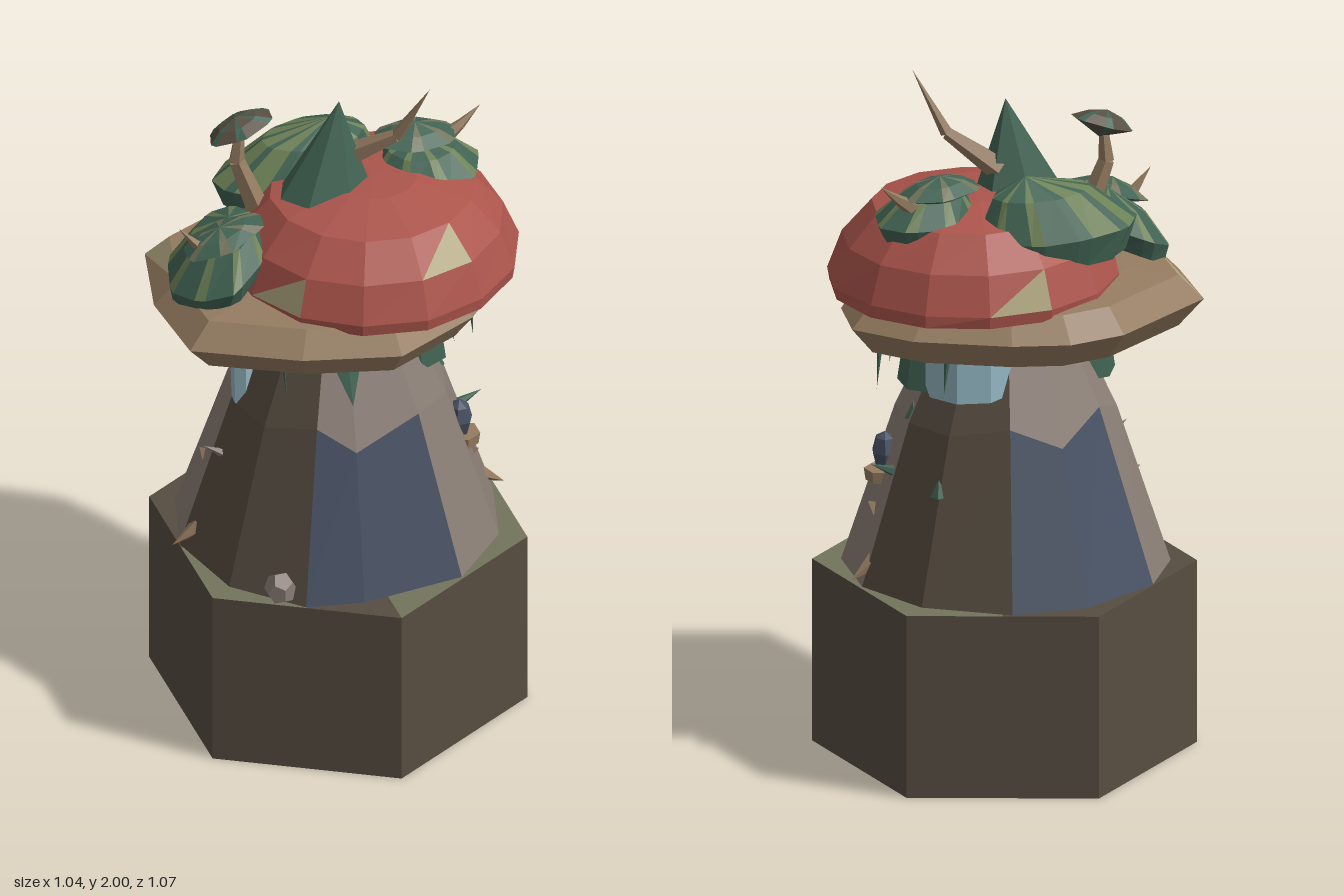
import * as THREE from 'three';

const PALETTE = {
  stoneBrown: 0x574d41, moss: 0x72745c, slate: 0x475163, taupe: 0x897d74, ice: 0x93b6c2,
  tan: 0x957c61, red: 0xac554c, cream: 0xaea37c, pine: 0x416353, olive: 0x6d8156,
};

export function createModel() {
  const mat = {};
  for (const [name, color] of Object.entries(PALETTE)) {
    mat[name] = new THREE.MeshStandardMaterial({ color, flatShading: true, side: THREE.DoubleSide });
    mat[name].name = name;
  }
  const group = new THREE.Group();
  let seed = 7;
  const rand = () => (seed = (seed * 16807) % 2147483647) / 2147483647;
  const rad = THREE.MathUtils.degToRad;

  const add = (name, geo, colour, pos = [0, 0, 0], rot = [0, 0, 0]) => {
    const m = new THREE.Mesh(geo, Array.isArray(colour) ? colour : mat[colour]);
    m.name = name;
    m.position.set(...pos);
    m.rotation.set(...rot);
    group.add(m);
    return m;
  };

  // Horizontal ring of points; angle runs from +z towards +x
  const ring = (cx, y, cz, rx, rz, angles, wobble = 0) => angles.map((a) => {
    const k = 1 + (rand() - 0.5) * wobble;
    return [cx + Math.sin(rad(a)) * rx * k, y, cz + Math.cos(rad(a)) * rz * k];
  });
  const even = (n, start = 0) => Array.from({ length: n }, (_, i) => start + (i * 360) / n);

  // Skin between rings listed bottom to top; pick(row, segment, triangle) names a colour
  const loft = (name, rings, pick) => {
    const byColour = {};
    for (let i = 0; i < rings.length - 1; i++) {
      const n = rings[i].length;
      for (let j = 0; j < n; j++) {
        const k = (j + 1) % n;
        const [a, b, c, d] = [rings[i][j], rings[i][k], rings[i + 1][k], rings[i + 1][j]];
        [[a, b, c], [a, c, d]].forEach((t, s) => {
          const tri = new THREE.Triangle(...t.map((p) => new THREE.Vector3(...p)));
          if (tri.getArea() > 1e-7) (byColour[pick(i, j, s)] ??= []).push(...t.flat());
        });
      }
    }
    const geo = new THREE.BufferGeometry();
    const all = [], mats = [];
    for (const [colour, list] of Object.entries(byColour)) {
      geo.addGroup(all.length / 3, list.length / 3, mats.length);
      mats.push(mat[colour]);
      all.push(...list);
    }
    geo.setAttribute('position', new THREE.Float32BufferAttribute(all, 3));
    geo.computeVertexNormals();
    return add(name, geo, mats);
  };

  // Hexagonal plinth with a partly mossy top
  const hex = (y, s) => ring(0.004, y, 0, 0.537 * s, 0.537 * s, even(6)).flatMap((p, i, r) => {
    const q = r[(i + 1) % 6];
    return [p, p.map((v, c) => (v + q[c]) / 2)];
  });
  const mossy = [1, 1, 1, 1, 1, 0, 0, 0, 0, 1, 1, 0];
  loft('plinth', [hex(0, 0), hex(0, 1), hex(0.54, 1), hex(0.54, 0)],
    (i, j) => (i === 2 && mossy[j] ? 'moss' : 'stoneBrown'));

  // Tapered tower: pairs of panels in slate, taupe and brown, with ragged slate tops
  const ta = [-30, -9, 30, 60, 90, 120, 153, 180, 214, 240, 268, 300];
  const towerRing = (r, ys) => ta.map((a, j) => {
    const k = (r - (ys[j] - ys[3]) * 0.45) * (j === 1 ? 0.945 : 1);
    return [Math.sin(rad(a)) * k, ys[j], Math.cos(rad(a)) * k];
  });
  const panels = ['slate', 'taupe', 'stoneBrown'];
  loft('tower', [
    towerRing(0.46, ta.map(() => 0.54)),
    towerRing(0.31, [1.03, 0.96, 1.02, 1, 1, 1, 1.03, 0.97, 1.04, 1, 1, 1]),
    towerRing(0.17, ta.map(() => 1.3)),
  ], (i, j) => {
    const c = panels[(j >> 1) % 3];
    return i === 1 && c === 'slate' ? 'taupe' : c;
  });

  // Wide irregular tan brim with a darker, hollow underside
  const outline = [[0.05, 0.41], [0.3, 0.29], [0.46, 0.12], [0.52, -0.05], [0.42, -0.22], [0.2, -0.39],
    [0.05, -0.46], [-0.12, -0.46], [-0.46, -0.31], [-0.52, -0.06], [-0.5, 0.19], [-0.22, 0.34]];
  const brim = [[1.31, 0.28], [1.28, 0.7], [1.25, 0.87], [1.33, 1], [1.4, 0.87], [1.415, 0.6], [1.42, 0]];
  loft('capBrim', brim.map(([y, k]) => outline.map(([x, z]) => [x * k, y, -0.02 + (z + 0.02) * k])), (i, j, s) => {
    if (i === 0) return 'stoneBrown';
    return i === 3 && j === 8 && s ? 'cream' : 'tan';
  });

  // Faceted red cap with pale patches
  const ca = even(14, 4);
  const cap = [[1.385, 0.41], [1.42, 0.415], [1.53, 0.375], [1.625, 0.29], [1.665, 0.13], [1.67, 0]];
  const patches = ['2,0,0', '1,11,0', '1,6,0'];
  loft('redCap', cap.map(([y, r]) => ring(0.105, y, -0.005, r, r * 0.95, ca, 0.02)),
    (i, j, s) => (patches.includes(`${i},${j},${s}`) ? 'cream' : 'red'));

  // Leafy clumps: squat domes of wide and narrow wedges fanning from an off-centre crown
  const clump = (name, [x, y, z], [rx, h, rz], [ax, az], lean, colour, wedges) => {
    const an = even(wedges, 10).flatMap((a) => [a, a + 252 / wedges]);
    const rings = [
      ring(x, y + h * 0.15, z, 0, 0, an),
      ring(x, y, z, rx * 0.85, rz * 0.85, an, 0.1),
      ring(x, y + h * 0.35, z, rx, rz, an, 0.1),
      ring((x + ax) / 2, y + h * 0.8, (z + az) / 2, rx * 0.62, rz * 0.62, an, 0.06),
      ring(ax, y + h, az, 0, 0, an),
    ];
    rings.flat().forEach((p) => { p[1] += (p[0] - x) * lean; });
    loft(name, rings, (i, j) => (i > 1 ? colour(i, j) : 'pine'));
  };
  const narrowRays = (i, j) => (j % 2 ? 'olive' : 'pine');
  clump('backFoliage', [-0.045, 1.5, -0.215], [0.24, 0.25, 0.135], [0.05, -0.2], 0,
    (i, j) => narrowRays(i, j >= 9 && j <= 17 ? j + 1 : j), 10);
  clump('rightFoliage', [-0.355, 1.42, -0.01], [0.14, 0.16, 0.17], [-0.31, -0.03], 0.45, narrowRays, 8);
  clump('leftFoliage', [0.285, 1.575, -0.055], [0.155, 0.145, 0.13], [0.26, -0.07], 0, narrowRays, 8);

  // Small leaf pads above the clumps
  const leafPad = (name, [x, y, z], [rx, h, rz], tilt, base, streak) => {
    const an = even(6).flatMap((a) => [a, a + 42]);
    const m = loft(name, [
      ring(0, -h / 2, 0, 0, 0, an), ring(0, 0, 0, rx, rz, an, 0.12),
      ring(0, h * 0.3, 0, rx * 0.6, rz * 0.6, an), ring(0, h / 2, 0, 0, 0, an),
    ], (i, j) => (j % 2 ? streak : base));
    m.position.set(x, y, z);
    m.rotation.z = tilt;
  };
  leafPad('highLeafPad', [-0.245, 1.83, -0.12], [0.1, 0.08, 0.06], 0.35, 'stoneBrown', 'pine');
  leafPad('rightLeafPad', [-0.34, 1.57, 0.02], [0.125, 0.08, 0.075], 0.35, 'pine', 'moss');
  leafPad('leftLeafPad', [0.26, 1.71, -0.09], [0.12, 0.09, 0.085], -0.05, 'pine', 'moss');

  // Pointed pine on the crown
  const pa = even(7, 20);
  loft('pineCone', [ring(-0.03, 1.6, -0.02, 0, 0, pa), ring(-0.03, 1.64, -0.02, 0.14, 0.095, pa, 0.1),
    ring(0.015, 1.92, -0.025, 0, 0, pa)], () => 'pine');

  // Tapered twigs and thorns through a few points
  const twig = (name, pts, r, colour = 'tan') => {
    const v = pts.map((p) => new THREE.Vector3(...p));
    for (let i = 0; i < v.length - 1; i++) {
      const dir = v[i + 1].clone().sub(v[i]);
      const at = (k) => r * (1 - k / (v.length - 1));
      const m = add(name, new THREE.CylinderGeometry(at(i + 1), at(i), dir.length(), 5), colour);
      m.position.copy(v[i]).addScaledVector(dir, 0.5);
      m.quaternion.setFromUnitVectors(new THREE.Vector3(0, 1, 0), dir.normalize());
    }
  };
  twig('crownTwig', [[0.04, 1.72, -0.04], [0.16, 1.82, 0.05], [0.235, 2.0, 0.115]], 0.038);
  twig('highTwig', [[-0.2, 1.56, -0.1], [-0.255, 1.72, -0.12], [-0.245, 1.83, -0.12], [-0.24, 1.84, -0.12]], 0.035);
  twig('rightTwig', [[-0.36, 1.52, 0.02], [-0.42, 1.56, 0.015], [-0.47, 1.62, 0.01]], 0.03);
  twig('leftTwig', [[0.33, 1.66, -0.1], [0.4, 1.71, -0.1], [0.46, 1.76, -0.105]], 0.03);
  twig('thorn', [[0.33, 0.85, 0.02], [0.42, 0.89, 0.02]], 0.02, 'pine');
  twig('thorn', [[-0.32, 0.83, 0.02], [-0.4, 0.88, 0.02]], 0.02, 'taupe');
  [1, -1].forEach((s) => twig('rootStub', [[s * 0.41, 0.61, 0.01], [s * 0.49, 0.56, 0.01]], 0.028));

  // Pale blue hanging lanterns below the brim
  add('leftLantern', new THREE.CylinderGeometry(0.125, 0.125, 0.16, 8), 'ice', [0.18, 1.19, -0.11]);
  add('rightLantern', new THREE.CylinderGeometry(0.035, 0.03, 0.18, 6), 'ice', [-0.28, 1.09, 0]);

  // Leaf skirts draped from the brim
  [[0.195, 0.05], [-0.195, -0.06]].forEach(([x, z]) =>
    add('leafSkirt', new THREE.CylinderGeometry(0.085, 0.11, 0.17, 7), 'pine', [x, 1.175, z]));
  const leaf = add('frontLeaf', new THREE.ConeGeometry(0.05, 0.15, 4), 'pine', [-0.04, 1.15, 0.222], [Math.PI - 0.43, 0, 0]);
  leaf.scale.z = 0.3;

  // Thin vines under the rim
  [[0.37, 0.05], [0.29, 0.12], [-0.29, 0.08], [-0.22, 0.16], [0.29, -0.19], [-0.3, -0.15]].forEach(([x, z], i) =>
    twig('vine', [[x, 1.28, z], [x + 0.015, 1.1 + (i % 3) * 0.04, z]], 0.012, 'pine'));

  // Rounded window with a sill
  const pane = add('windowPane', new THREE.SphereGeometry(0.05, 6, 4), 'slate', [0.32, 0.88, 0.12]);
  pane.scale.set(0.75, 1.2, 0.85);
  add('windowSill', new THREE.CylinderGeometry(0.05, 0.045, 0.035, 6), 'tan', [0.33, 0.815, 0.12]);

  // Pebbles, wall tufts and chips
  const pebble = add('pebble', new THREE.DodecahedronGeometry(0.046), 'taupe', [-0.285, 0.58, 0.34]);
  pebble.scale.y = 1.1;
  [[0.31, 0.86, -0.17], [0.285, 1.03, 0.02], [-0.28, 0.92, -0.06]].forEach((p) =>
    add('wallTuft', new THREE.ConeGeometry(0.025, 0.05, 5), 'pine', p));
  add('wallChip', new THREE.TetrahedronGeometry(0.05), 'tan', [-0.34, 0.76, -0.08]);
  add('wallChip', new THREE.TetrahedronGeometry(0.035), 'tan', [0.365, 0.73, 0.08]);

  return group;
}
